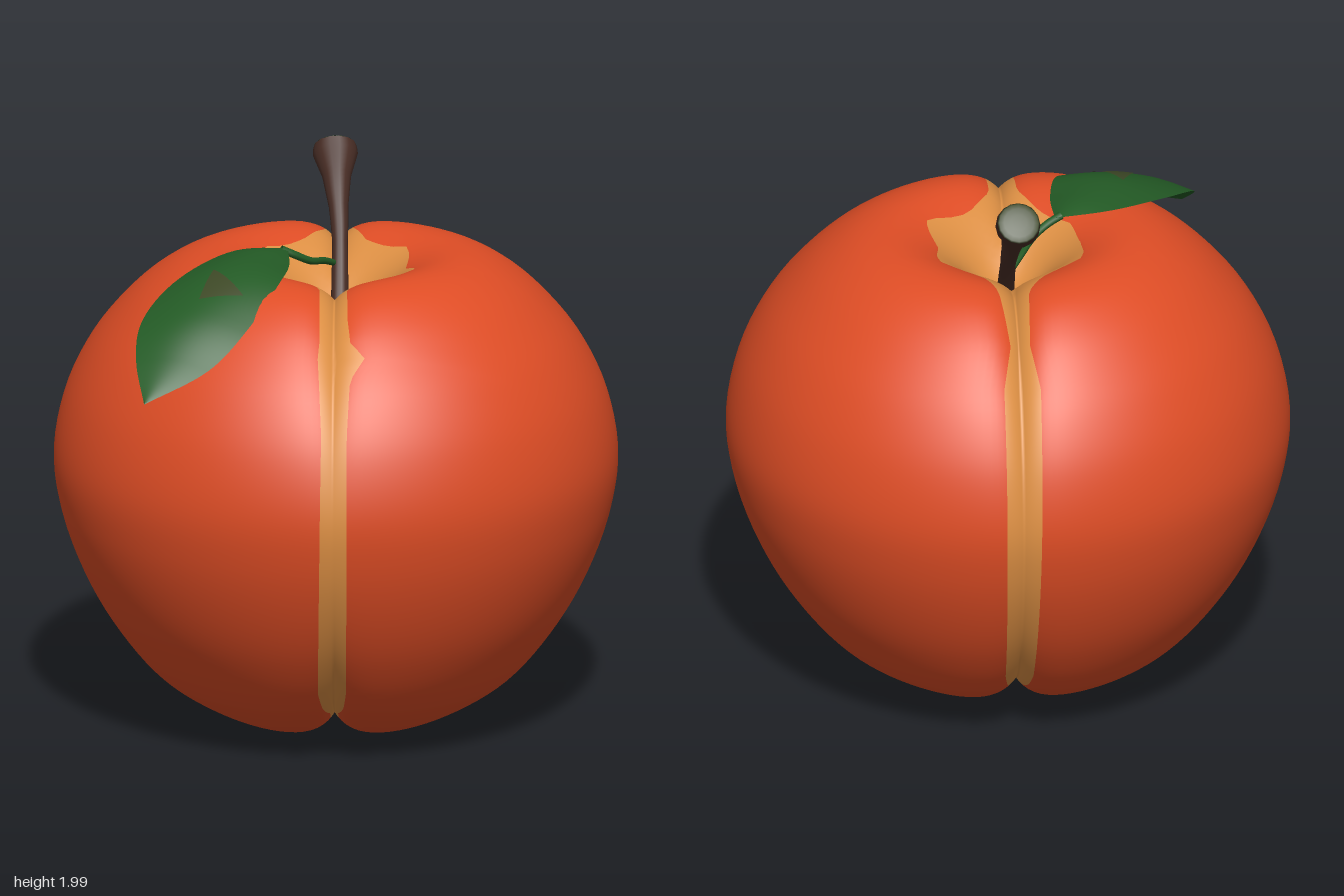
import * as THREE from 'three';
import { ParametricGeometry } from 'three/addons/geometries/ParametricGeometry.js';

const V = (x, y, z) => new THREE.Vector3(x, y, z);
const curve = pts => new THREE.CatmullRomCurve3(pts.map(p => V(...p)));
const { smoothstep, lerp, degToRad } = THREE.MathUtils;
const CENTRE = 0.85;

// Linear lookup in rows sorted by their first value
function lookup(rows, key, col) {
  let i = 1;
  while (i < rows.length - 1 && rows[i][0] < key) i++;
  const a = rows[i - 1], b = rows[i];
  return lerp(a[col], b[col], Math.min(1, Math.max(0, (key - a[0]) / (b[0] - a[0]))));
}

// Fruit profile (radius, height) from the stem hollow down to the base
const profile = curve([
  [0, 1.44, 0], [0.08, 1.48, 0], [0.18, 1.58, 0], [0.28, 1.655, 0], [0.4, 1.69, 0], [0.52, 1.67, 0],
  [0.65, 1.595, 0], [0.77, 1.48, 0], [0.86, 1.36, 0], [0.94, 1.19, 0], [0.98, 0.98, 0], [0.96, 0.8, 0],
  [0.895, 0.6, 0], [0.79, 0.4, 0], [0.63, 0.2, 0], [0.47, 0.09, 0], [0.32, 0.025, 0], [0.2, 0, 0],
  [0.1, 0.02, 0], [0, 0.05, 0],
]);
const polar = profile.getPoints(300).map(p => [Math.atan2(p.x, p.y - CENTRE), Math.hypot(p.x, p.y - CENTRE)]);

// Surface point in a direction, with the groove pressed in along x = 0
function fruitPoint(dir) {
  const r = lookup(polar, Math.acos(THREE.MathUtils.clamp(dir.y, -1, 1)), 1);
  const p = dir.clone().multiplyScalar(r);
  const ring = Math.hypot(p.x, p.z);
  const hollow = dir.y > 0 ? smoothstep(ring, 0.05, 0.35) : 1;
  const depth = (0.02 - 0.012 * dir.z + 0.085 * dir.y * dir.y) * hollow;
  p.multiplyScalar(1 - depth * Math.exp(-Math.abs(p.x) / 0.06) / r);
  return V(p.x, p.y + CENTRE, p.z * 0.975);
}

// Half widths of the pale band: angle from the top towards the front, +x side, -x side
const band = [
  [-180, 0.012, 0.012], [-150, 0.02, 0.02], [-130, 0.05, 0.05], [-90, 0.06, 0.06], [-52, 0.06, 0.07],
  [-42, 0.03, 0.04], [-27, 0.06, 0.05], [-20, 0.1, 0.11], [-12, 0.2, 0.2], [0, 0.175, 0.18],
  [11, 0.215, 0.18], [17, 0.12, 0.12], [25, 0.045, 0.055], [38, 0.05, 0.05], [44, 0.06, 0.05],
  [48, 0.11, 0.055], [53, 0.06, 0.05], [65, 0.05, 0.04], [90, 0.05, 0.045], [130, 0.045, 0.055],
  [138, 0.035, 0.04], [146, 0.015, 0.015], [180, 0.012, 0.012],
];

// Grid wrapped around the x axis, so the band follows its columns
function fruitGeometry() {
  const U = 180, S = 8, B = 36, half = S + B, cols = 2 * half - 1;
  const pos = [], red = [], pale = [];
  for (let i = 0; i < U; i++) {
    const deg = -180 + 360 * i / U, a = degToRad(deg);
    const r = lookup(polar, Math.abs(a), 1);
    for (let j = 1 - half; j < half; j++) {
      const k = Math.abs(j);
      const edge = Math.asin(lookup(band, deg, j > 0 ? 1 : 2) / r);
      const psi = Math.sign(j) * (k <= S ? edge * k / S : lerp(edge, Math.PI / 2, ((k - S) / B) ** 1.35));
      const c = Math.cos(psi);
      pos.push(...fruitPoint(V(Math.sin(psi), c * Math.cos(a), c * Math.sin(a))).toArray());
    }
  }
  const left = U * cols, right = left + 1;
  pos.push(...fruitPoint(V(-1, 0, 0)).toArray(), ...fruitPoint(V(1, 0, 0)).toArray());
  for (let i = 0; i < U; i++) {
    const a = i * cols, b = ((i + 1) % U) * cols;
    red.push(left, b, a, right, a + cols - 1, b + cols - 1);
    for (let j = 0; j < cols - 1; j++) {
      const inBand = j >= B - 1 && j < B - 1 + 2 * S;
      (inBand ? pale : red).push(a + j, b + j, a + j + 1, b + j, b + j + 1, a + j + 1);
    }
  }
  const g = new THREE.BufferGeometry();
  g.setAttribute('position', new THREE.Float32BufferAttribute(pos, 3));
  g.setIndex([...red, ...pale]);
  g.addGroup(0, red.length, 0);
  g.addGroup(red.length, pale.length, 1);
  g.computeVertexNormals();
  return g;
}

// Tube whose radius changes along its path
function taperedTube(path, radius, segments, sides) {
  const g = new THREE.TubeGeometry(path, segments, 1, sides);
  const p = g.attributes.position, v = V(0, 0, 0);
  for (let i = 0; i < p.count; i++) {
    const t = Math.floor(i / (sides + 1)) / segments, c = path.getPointAt(t);
    v.fromBufferAttribute(p, i).sub(c).multiplyScalar(radius(t)).add(c);
    p.setXYZ(i, v.x, v.y, v.z);
  }
  return g;
}

// Leaf surface between its two edges, arched across the middle
const leafOuter = curve([[-0.17, 1.715, 0.04], [-0.35, 1.715, 0.08], [-0.55, 1.66, 0.27], [-0.67, 1.57, 0.5],
  [-0.685, 1.48, 0.66], [-0.655, 1.37, 0.83]]);
const leafInner = curve([[-0.165, 1.71, 0.06], [-0.16, 1.7, 0.22], [-0.19, 1.69, 0.4], [-0.3, 1.575, 0.6],
  [-0.43, 1.465, 0.725], [-0.655, 1.37, 0.83]]);
function leafPoint(s, t, target) {
  target.copy(leafOuter.getPoint(s)).lerp(leafInner.getPoint(s), t);
  target.y += 0.045 * Math.sin(Math.PI * t) * Math.sin(Math.PI * s);
}

export function createModel() {
  const material = (name, color, side = THREE.FrontSide) => {
    const m = new THREE.MeshStandardMaterial({ color, side });
    m.name = name;
    return m;
  };
  const skin = material('red orange skin', 0xdf4d25);
  const pale = material('pale orange skin', 0xde9044);
  const bark = material('brown bark', 0x482d25, THREE.DoubleSide);
  const green = material('leaf green', 0x235a25, THREE.DoubleSide);
  const moss = material('brownish green', 0x3d4826, THREE.DoubleSide);

  const model = new THREE.Group();
  const add = (name, geometry, mat) => {
    const mesh = new THREE.Mesh(geometry, mat);
    mesh.name = name;
    model.add(mesh);
    return mesh;
  };

  add('fruit', fruitGeometry(), [skin, pale]);

  // Stem leaning backwards, flared at its tip
  const stemPath = curve([[0.012, 1.42, -0.01], [0.012, 1.56, -0.11], [0.01, 1.7, -0.22], [0, 1.83, -0.33],
    [-0.01, 1.945, -0.445]]);
  const radii = [[0, 0.032], [0.45, 0.027], [0.65, 0.034], [0.82, 0.05], [0.92, 0.072], [0.96, 0.08], [1, 0.074]];
  add('stem', taperedTube(stemPath, t => lookup(radii, t, 1), 40, 14), bark);
  const end = add('stemEnd', new THREE.SphereGeometry(0.074, 16, 4, 0, Math.PI * 2, 0, Math.PI / 2), moss);
  end.scale.y = 0.15;
  end.position.copy(stemPath.getPointAt(1));
  end.quaternion.setFromUnitVectors(V(0, 1, 0), stemPath.getTangentAt(1));

  // Leaf with its stalk
  const stalk = curve([[0.01, 1.6, -0.16], [-0.04, 1.635, -0.08], [-0.09, 1.66, 0.01], [-0.14, 1.69, 0.045],
    [-0.19, 1.715, 0.06]]);
  add('leafStalk', taperedTube(stalk, t => lerp(0.011, 0.014, t), 20, 8), green);
  add('leaf', new ParametricGeometry((u, v, p) => leafPoint(u, v, p), 36, 16), green);

  // Three-cornered spot lying on the leaf
  add('leafSpot', new ParametricGeometry((u, v, p) => {
    const s = lerp(lerp(0.4, 0.54, v), 0.5, u);
    leafPoint(s, lerp(lerp(0.36, 0.46, v), 0.8, u), p);
    p.y += 0.004;
  }, 10, 8), moss);

  return model;
}
